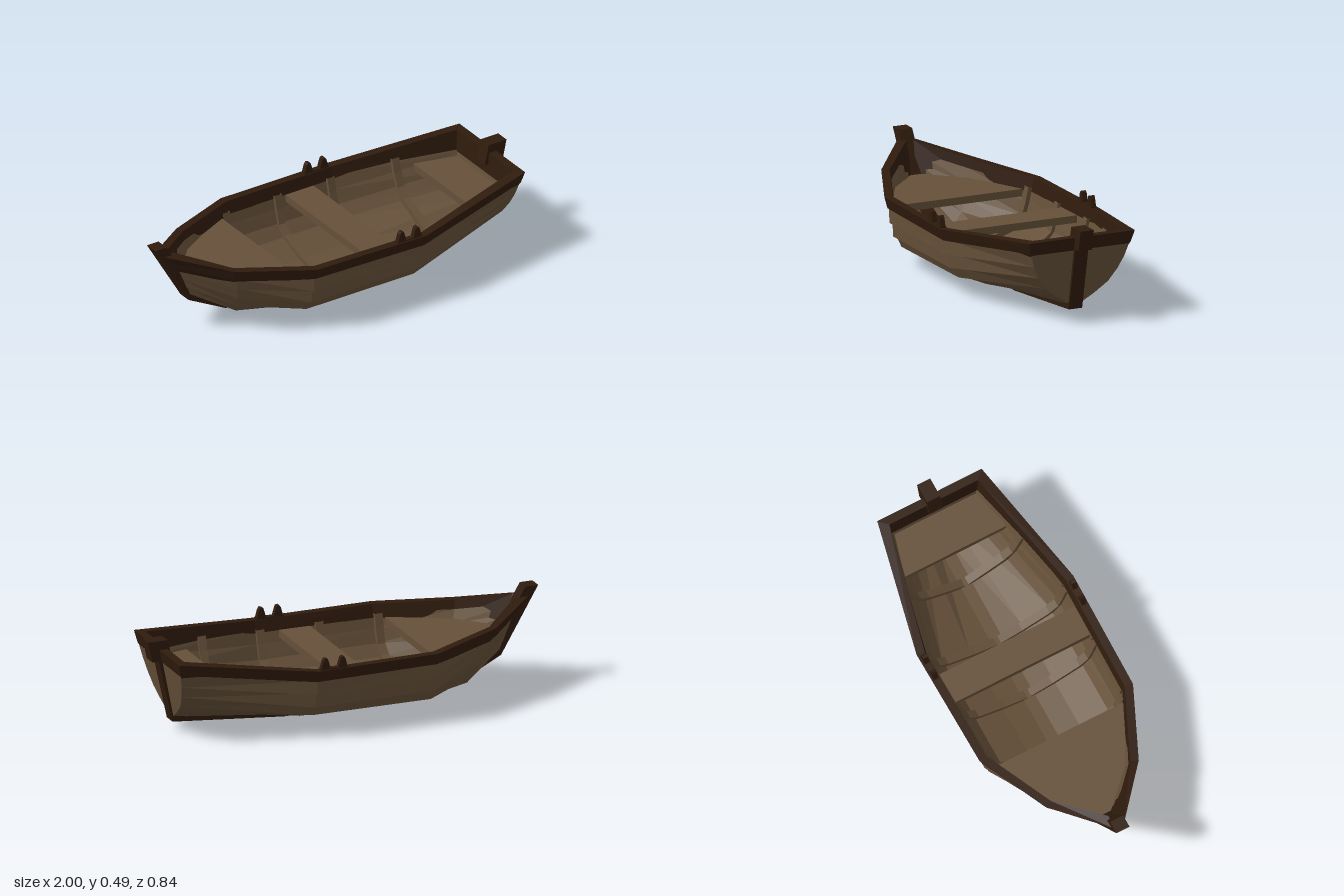
import * as THREE from 'three';

const plankMat = new THREE.MeshStandardMaterial({ color: 0x655039, flatShading: true, side: THREE.DoubleSide });
const darkMat = new THREE.MeshStandardMaterial({ color: 0x2f1b0d, flatShading: true, side: THREE.DoubleSide });

// Hull stations from bow to stern; each knot is [z, y], from below the rail down to the keel.
// lip is how far the plank edges stand out there.
const stations = [
  { lip: 0, x: y => -0.735 - y * 0.4, k: [[.03, .38], [.03, .33], [.03, .28], [.03, .235], [.03, .195], [.02, .16]] },
  { lip: 0.6, x: y => -0.575 - y * 0.3, k: [[.225, .32], [.21, .255], [.188, .19], [.157, .13], [.113, .08], [.02, .055]] },
  { lip: 1, x: () => -0.33, k: [[.385, .295], [.37, .225], [.35, .155], [.307, .1], [.16, .05], [.02, .025]] },
  { lip: 1, x: () => 0.28, k: [[.392, .29], [.375, .222], [.352, .152], [.307, .1], [.16, .05], [.02, .025]] },
  { lip: 0, x: y => 0.855 + y * 0.2, k: [[.26, .36], [.238, .29], [.208, .23], [.165, .17], [.1, .12], [.02, .07]] },
];
const KNOTS = 6;
const BENCH_TOP = 0.288;

// Skin over rows of points
function loft(rows) {
  const pos = [];
  for (let i = 0; i < rows.length - 1; i++) {
    for (let j = 0; j < rows[i].length - 1; j++) {
      const a = rows[i][j], b = rows[i][j + 1], c = rows[i + 1][j + 1], d = rows[i + 1][j];
      pos.push(...a, ...b, ...c, ...a, ...c, ...d);
    }
  }
  const g = new THREE.BufferGeometry();
  g.setAttribute('position', new THREE.Float32BufferAttribute(pos, 3));
  g.computeVertexNormals();
  return g;
}

// Row of hull points along one knot, shifted in z and y
const seam = (k, side, dz = 0, dy = 0) => stations.map(s => {
  const [z, y] = s.k[k];
  return [s.x(y), y + dy, side * Math.max(z + dz, 0.012)];
});

// Outer lower edge of a plank, standing out amidships and flush at both ends
const lipSeam = (k, side) => stations.map(s => {
  const [z, y] = s.k[k];
  return [s.x(y), y - 0.005 * s.lip, side * (z + 0.015 * s.lip)];
});

// Hull cross-section [z, y] at any x
function sectionAt(x) {
  return Array.from({ length: KNOTS }, (_, k) => {
    const row = seam(k, 1);
    let i = 0;
    while (i < row.length - 2 && x > row[i + 1][0]) i++;
    const t = THREE.MathUtils.clamp((x - row[i][0]) / (row[i + 1][0] - row[i][0]), 0, 1);
    return [THREE.MathUtils.lerp(row[i][2], row[i + 1][2], t), THREE.MathUtils.lerp(row[i][1], row[i + 1][1], t)];
  });
}

// Half width of the hull at x and height y
function widthAt(x, y) {
  const s = sectionAt(x);
  for (let k = 0; k < KNOTS - 1; k++) {
    if (y <= s[k][1] && y >= s[k + 1][1]) {
      return THREE.MathUtils.lerp(s[k][0], s[k + 1][0], (s[k][1] - y) / (s[k][1] - s[k + 1][1]));
    }
  }
  return y > s[0][1] ? s[0][0] : s[KNOTS - 1][0];
}

// Side profile in x, y extruded symmetrically about z
function profile(points, width, z = 0) {
  const shape = new THREE.Shape(points.map(p => new THREE.Vector2(...p)));
  const g = new THREE.ExtrudeGeometry(shape, { depth: width, bevelEnabled: false });
  return g.translate(0, 0, z - width / 2);
}

export function createModel() {
  const boat = new THREE.Group();
  boat.name = 'rowingBoat';
  const add = (name, geometry, material) => {
    const mesh = new THREE.Mesh(geometry, material);
    mesh.name = name;
    boat.add(mesh);
  };

  for (const side of [1, -1]) {
    const label = side > 0 ? 'Front' : 'Back';

    // Overlapping planks, each but the lowest with a lip along its lower edge
    for (let k = 0; k < KNOTS - 1; k++) {
      const edge = seam(k + 1, side);
      const rows = k < KNOTS - 2 ? [seam(k, side), lipSeam(k + 1, side), edge] : [seam(k, side), edge];
      add('plank' + label + (k + 1), loft(rows), plankMat);
    }

    // Smooth inside lining
    add('lining' + label, loft(Array.from({ length: KNOTS }, (_, k) => seam(k, side, -0.02, 0.01))), plankMat);

    // Ribs following the inside of the hull
    for (const x of [-0.34, -0.04, 0.262, 0.588]) {
      const rows = sectionAt(x).map(([z, y], k) => {
        const zo = Math.max(z - 0.016, 0.01), yo = y + 0.008;
        const zi = Math.max(z - 0.036, 0.01), yi = y + (k > 2 ? 0.028 : 0.012);
        return [[x - 0.02, yo, side * zo], [x - 0.02, yi, side * zi], [x + 0.02, yi, side * zi], [x + 0.02, yo, side * zo]];
      });
      add('rib' + label, loft(rows), plankMat);
    }

    // Oar holders: a pad with two tapering pegs
    const pad = new THREE.BoxGeometry(0.14, 0.01, 0.028).translate(0.2, 0.346, side * 0.398);
    add('oarPad' + label, pad, darkMat);
    for (const dir of [-1, 1]) {
      const peg = [[0.07, 0.34], [0.018, 0.34], [0.024, 0.365], [0.034, 0.398], [0.048, 0.402], [0.056, 0.39]];
      add('oarPeg' + label, profile(peg.map(([x, y]) => [0.2 + dir * x, y]), 0.025, side * 0.398), darkMat);
    }
  }

  // Rail around the rim: [x, z] outside, [x, z] inside, top height, end shift of the lower outer and inner edges.
  // Its inside face runs down to bench height.
  const rim = [
    [-0.96, 0.025, -0.89, 0.02, 0.438, 0.025, 0.05],
    [-0.69, 0.25, -0.675, 0.213, 0.375, 0.01, 0.01],
    [-0.33, 0.412, -0.32, 0.372, 0.35, 0, 0],
    [0.285, 0.421, 0.28, 0.38, 0.345, 0, 0],
    [0.942, 0.28, 0.9, 0.238, 0.418, -0.012, -0.01],
    [0.942, 0, 0.9, 0, 0.418, -0.012, -0.01],
  ];
  for (const side of [1, -1]) {
    const rows = rim.map(([xo, zo, xi, zi, y, dxo, dxi]) => [
      [xo, y, side * zo],
      [xi, y, side * zi],
      [xi + dxi, BENCH_TOP - 0.004, side * Math.max(zi - 0.012, 0)],
      [xo + dxo, y - 0.057, side * Math.max(zo - 0.016, 0)],
      [xo, y, side * zo],
    ]);
    add(side > 0 ? 'railFront' : 'railBack', loft(rows), darkMat);
  }

  // Flat stern board, outside and inside faces
  for (const dx of [0, -0.025]) {
    const half = side => stations[4].k.map(([z, y]) => [stations[4].x(y) + dx, y, side * z]);
    add(dx ? 'sternBoardInside' : 'sternBoard', loft([half(1), half(-1)]), plankMat);
  }

  // Stem, keel and stern post in one timber
  add('keel', profile([
    [-1, 0.485], [-0.81, 0.16], [-0.6, 0.05], [-0.33, 0], [0.3, 0], [0.875, 0.05], [0.945, 0.37],
    [0.915, 0.37], [0.86, 0.08], [0.28, 0.03], [-0.33, 0.03], [-0.58, 0.08], [-0.75, 0.17], [-0.83, 0.3],
    [-0.89, 0.41], [-0.935, 0.485],
  ], 0.07), darkMat);
  add('sternPostHead', profile([[0.875, 0.36], [0.978, 0.36], [1, 0.462], [0.9, 0.462]], 0.07), darkMat);

  // Board over the keel inside the boat
  add('keelBoard', profile([
    [-0.58, 0.075], [-0.33, 0.03], [0.28, 0.03], [0.86, 0.075],
    [0.86, 0.094], [0.28, 0.046], [-0.33, 0.046], [-0.58, 0.094],
  ], 0.06), plankMat);

  // Benches cut to the inside width of the hull: inset from the planks, then x positions
  const benches = {
    bowBench: [0.006, [-0.84, -0.76, -0.665, -0.5, -0.37]],
    middleBench: [0.02, [0.005, 0.165]],
    sternBench: [0.008, [0.675, 0.895]],
  };
  const thick = 0.036;
  for (const [name, [inset, xs]] of Object.entries(benches)) {
    const edge = xs.map(x => [x, Math.max(widthAt(x, BENCH_TOP - thick) - inset, 0.01)]);
    const outline = [...edge, ...edge.map(([x, z]) => [x, -z]).reverse()];
    const g = profile(outline, thick).rotateX(-Math.PI / 2).translate(0, BENCH_TOP - thick / 2, 0);
    add(name, g, plankMat);
  }

  return boat;
}
